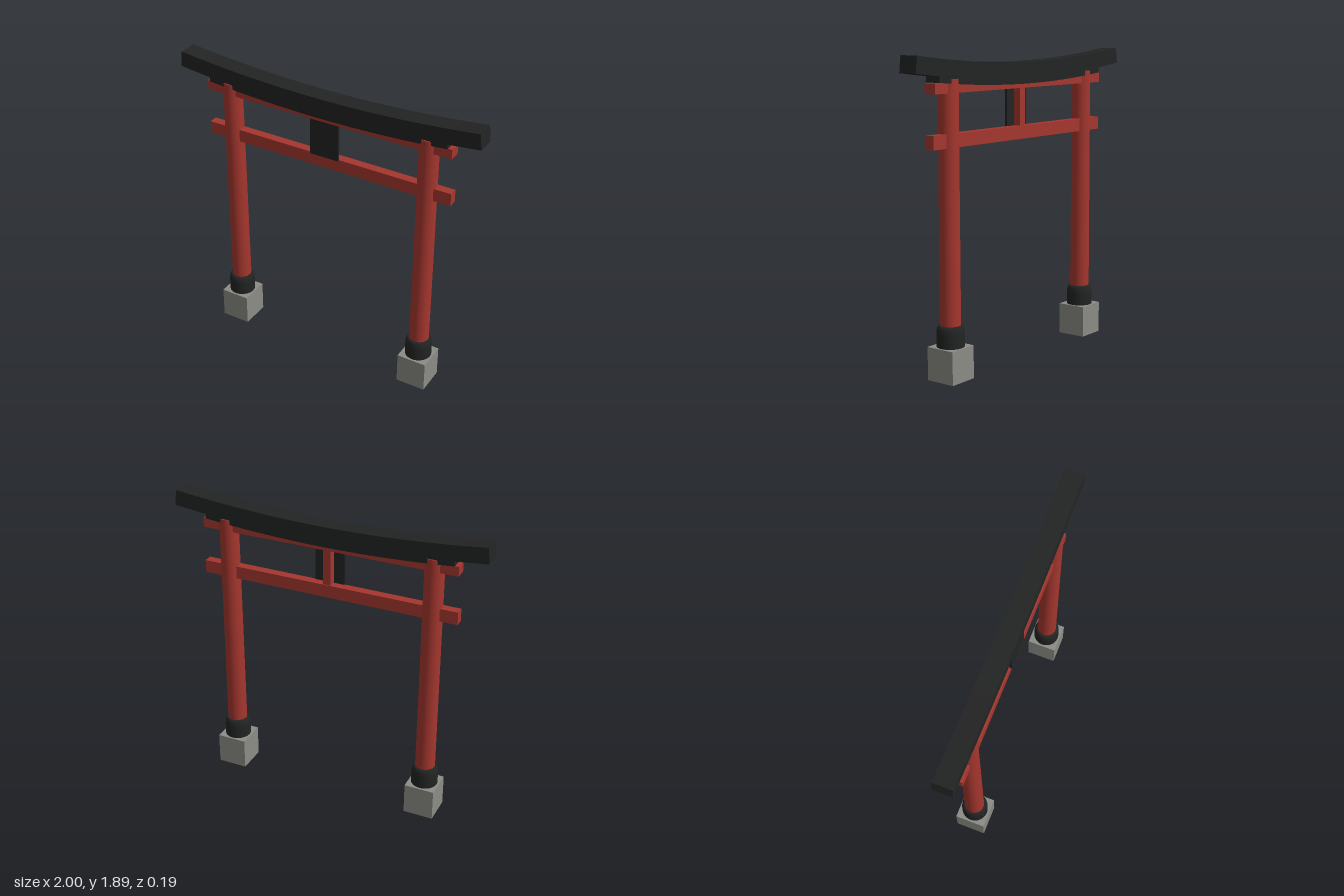
import * as THREE from 'three';

const red = new THREE.MeshStandardMaterial({ name: 'vermilion', color: 0xa5362e });
const black = new THREE.MeshStandardMaterial({ name: 'black', color: 0x222323 });
const stone = new THREE.MeshStandardMaterial({ name: 'stone grey', color: 0x8c8c86 });

const POST_X = 0.664;

function add(parent, name, geometry, material, x = 0, y = 0, z = 0) {
  const mesh = new THREE.Mesh(geometry, material);
  mesh.name = name;
  mesh.position.set(x, y, z);
  parent.add(mesh);
  return mesh;
}

// Box given by its bottom height
function block(parent, name, material, [w, h, d], bottom, x = 0, z = 0) {
  return add(parent, name, new THREE.BoxGeometry(w, h, d), material, x, bottom + h / 2, z);
}

// Beam swept up towards both ends, with ends square to the curve
function curvedBeam(halfLength, height, depth, bottom) {
  const rise = 0.061;
  const geometry = new THREE.BoxGeometry(halfLength * 2, height, depth, 32, 1, 1);
  const p = geometry.attributes.position;
  for (let i = 0; i < p.count; i++) {
    const x = p.getX(i);
    const up = p.getY(i) + height / 2;
    p.setX(i, x - 2 * rise * x * up);
    p.setY(i, bottom + rise * x * x + up);
  }
  geometry.computeVertexNormals();
  return geometry;
}

export function createModel() {
  const gate = new THREE.Group();
  gate.name = 'gate';

  // Posts with stone footings and black collars
  const collarProfile = [
    [0.083, 0.2], [0.083, 0.275], [0.081, 0.298], [0.076, 0.315], [0.068, 0.328], [0, 0.328],
  ].map(([r, y]) => new THREE.Vector2(r, y));
  for (const [side, x] of [['left', POST_X], ['right', -POST_X]]) {
    const post = new THREE.Group();
    post.name = side + 'Post';
    post.position.x = x;
    gate.add(post);
    block(post, 'footing', stone, [0.19, 0.2, 0.19], 0);
    add(post, 'collar', new THREE.LatheGeometry(collarProfile, 32), black);
    add(post, 'shaft', new THREE.CylinderGeometry(0.059, 0.062, 1.45, 32), red, 0, 1.025);
  }

  // Straight tie beams
  block(gate, 'lowerBeam', red, [1.655, 0.08, 0.056], 1.36);
  block(gate, 'upperBeam', red, [1.64, 0.06, 0.076], 1.67);

  // Middle strut with the plaque on its front
  block(gate, 'strut', red, [0.05, 0.24, 0.045], 1.435);
  block(gate, 'plaque', black, [0.19, 0.236, 0.016], 1.435, 0, 0.03);

  // Curved double lintel
  add(gate, 'innerLintel', curvedBeam(0.797, 0.045, 0.1, 1.695), black);
  add(gate, 'topLintel', curvedBeam(1, 0.097, 0.12, 1.73), black);

  return gate;
}
